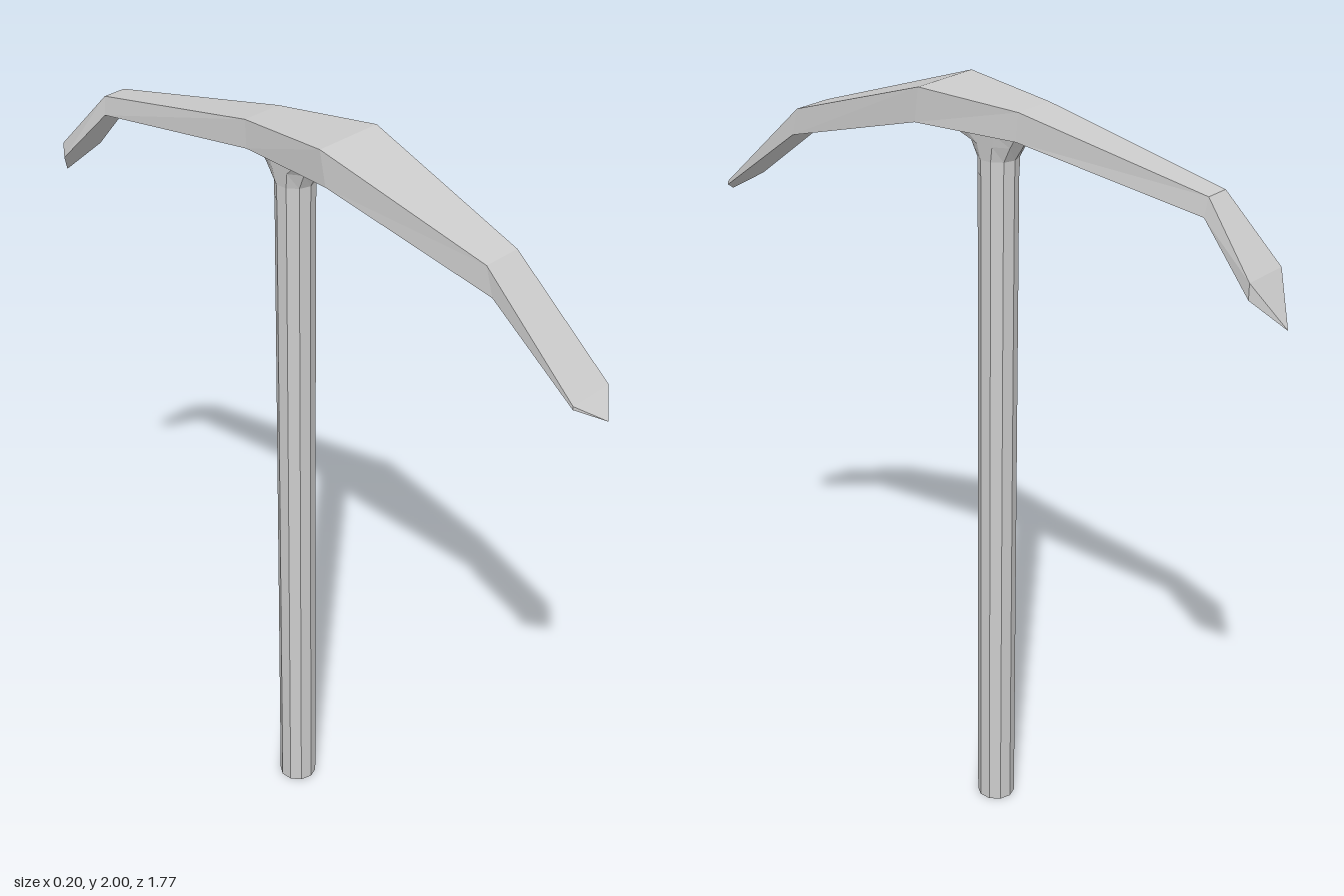
import * as THREE from 'three';

const material = new THREE.MeshStandardMaterial({ color: 0xcccccc, flatShading: true });

// Skin a list of rings (each an array of [x, y, z], clockwise seen from the last ring)
function loft(rings) {
  const out = [];
  for (let i = 0; i < rings.length - 1; i++) {
    const n = rings[i].length;
    for (let k = 0; k < n; k++) {
      const j = (k + 1) % n;
      const a = rings[i][k], b = rings[i + 1][k], c = rings[i + 1][j], d = rings[i][j];
      out.push(...a, ...b, ...c, ...a, ...c, ...d);
    }
  }
  const geometry = new THREE.BufferGeometry();
  geometry.setAttribute('position', new THREE.Float32BufferAttribute(out, 3));
  geometry.computeVertexNormals();
  return geometry;
}

function part(name, geometry) {
  const mesh = new THREE.Mesh(geometry, material);
  mesh.name = name;
  return mesh;
}

export function createModel() {
  const group = new THREE.Group();
  group.name = 'pickaxe';
  const sides = 10, handleZ = -0.053, handleR = 0.05, handleH = 1.84;

  // Ten-sided handle
  const handle = part('handle', new THREE.CylinderGeometry(handleR, handleR, handleH, sides));
  handle.position.set(0, handleH / 2, handleZ);
  group.add(handle);

  // Collar flaring from the handle to the underside of the head:
  // y, half width, back z, front z
  const collarRings = [
    [1.80, 0.051, -0.104, -0.002],
    [1.84, 0.051, -0.104, -0.002],
    [1.88, 0.056, -0.13, 0.02],
    [1.912, 0.06, -0.155, 0.13],
  ].map(([y, w, back, front]) => Array.from({ length: sides }, (_, k) => {
    const t = -k / sides * Math.PI * 2, c = Math.cos(t);
    return [w * Math.sin(t), y, handleZ + c * (c > 0 ? front - handleZ : handleZ - back)];
  }));
  group.add(part('collar', loft(collarRings)));

  // Curved head, back point to front blade:
  // top z, top y, top half width, bottom z, bottom y, bottom half width
  const headRings = [
    [-0.885, 1.615, 0, -0.885, 1.615, 0],
    [-0.818, 1.73, 0.064, -0.818, 1.689, 0.064],
    [-0.68, 1.888, 0.033, -0.675, 1.84, 0.04],
    [-0.16, 1.982, 0.058, -0.155, 1.91, 0.06],
    [0.115, 2.0, 0.098, 0.13, 1.91, 0.095],
    [0.57, 1.848, 0.055, 0.59, 1.775, 0.055],
    [0.833, 1.6, 0.066, 0.833, 1.591, 0.066],
    [0.885, 1.553, 0, 0.885, 1.553, 0],
  ].map(([tz, ty, tw, bz, by, bw]) => [[-tw, ty, tz], [tw, ty, tz], [bw, by, bz], [-bw, by, bz]]);
  group.add(part('head', loft(headRings)));

  return group;
}
